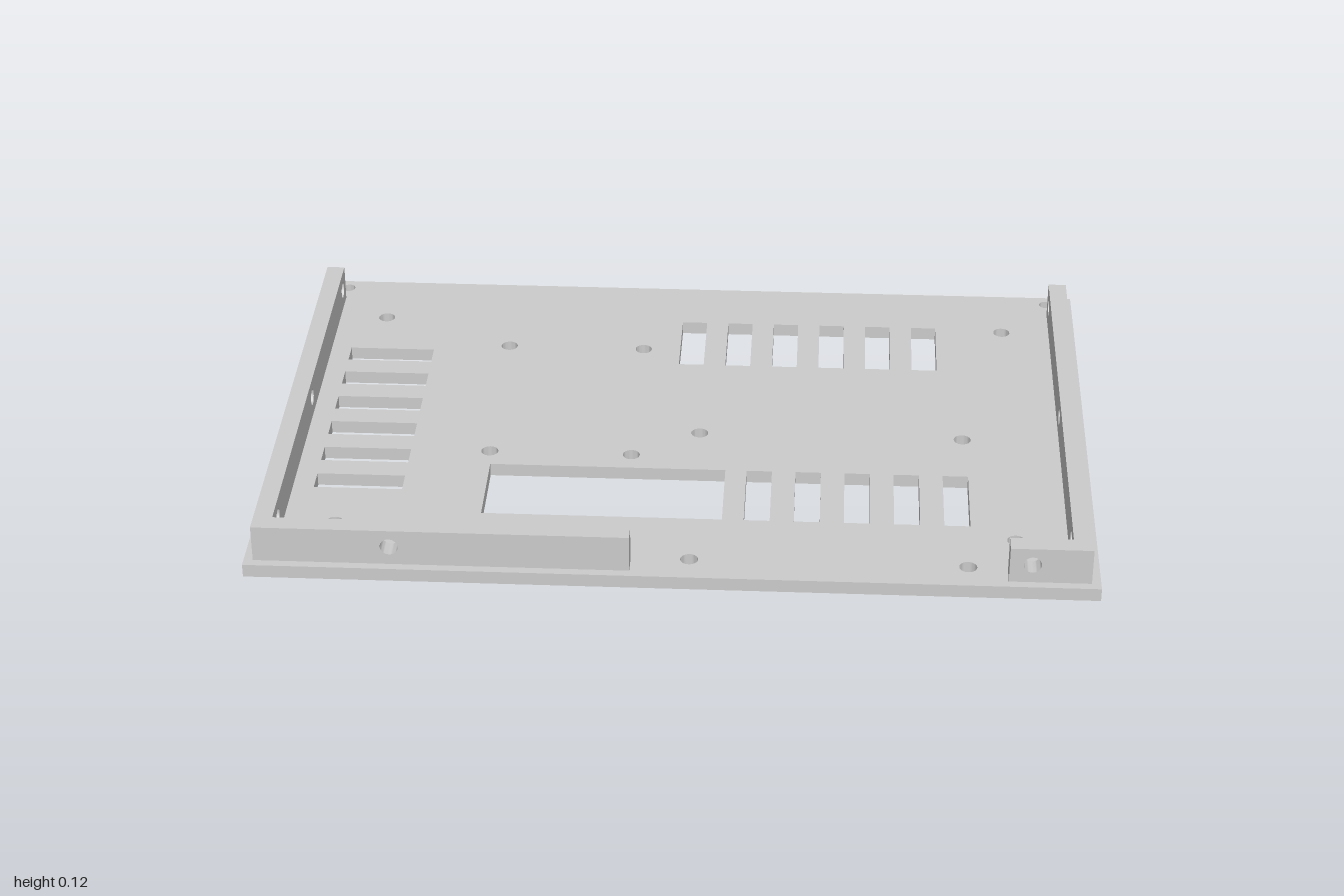
import * as THREE from 'three';
import { toCreasedNormals } from 'three/addons/utils/BufferGeometryUtils.js';

const material = new THREE.MeshStandardMaterial({ color: 0xcccccc });
const PLATE = 0.033, TOP = 0.125, WALL = 0.045, HOLE_Y = 0.081;

function rectPath(x0, y0, x1, y1, Type = THREE.Path) {
  const p = new Type();
  p.moveTo(x0, y0);
  p.lineTo(x1, y0);
  p.lineTo(x1, y1);
  p.lineTo(x0, y1);
  p.closePath();
  return p;
}

function holePath(x, y, r = 0.021) {
  return new THREE.Path().absarc(x, y, r, 0, Math.PI * 2, true);
}

// Flat panel with cut-outs; only the round holes come out smooth
function panel(name, outline, holes, depth) {
  outline.holes.push(...holes);
  const geo = new THREE.ExtrudeGeometry(outline, { depth, bevelEnabled: false, curveSegments: 16 });
  const mesh = new THREE.Mesh(toCreasedNormals(geo, 0.6), material);
  mesh.name = name;
  return mesh;
}

export function createModel() {
  const group = new THREE.Group();
  group.name = 'ventedMountingTray';

  // Base plate cut-outs, given in x and z
  const cuts = [];
  const slot = (x0, z0, x1, z1) => cuts.push(rectPath(x0, -z1, x1, -z0));
  const drill = (x, z, r) => cuts.push(holePath(x, -z, r));

  // Vent slots: back row, left column, front row
  for (let i = 0; i < 6; i++) {
    const x = -0.027 + i * 0.12, z = -0.325 + i * 0.12;
    slot(x, -0.498, x + 0.064, -0.284);
    slot(-0.882, z, -0.667, z + 0.06);
  }
  for (let i = 0; i < 5; i++) {
    const x = 0.164 + i * 0.1195;
    slot(x, 0.212, x + 0.062, 0.428);
  }
  // Large window
  slot(-0.465, 0.212, 0.112, 0.428);

  // Screw holes
  for (const s of [-1, 1]) {
    drill(s * 0.933, -0.637, 0.017);
    for (const z of [-0.485, 0.483]) drill(s * 0.81, z);
  }
  for (const x of [-0.472, -0.122]) for (const z of [-0.355, 0.153]) drill(x, z);
  for (const x of [0.042, 0.694]) for (const z of [0.045, 0.598]) drill(x, z);

  const base = panel('basePlate', rectPath(-1, -0.673, 1, 0.673, THREE.Shape), cuts, PLATE);
  base.rotation.x = -Math.PI / 2;
  group.add(base);

  // Side walls with three holes each
  for (const [name, x] of [['rightSideWall', -0.978], ['leftSideWall', 0.978 - WALL]]) {
    const wall = panel(name, rectPath(-0.652, PLATE, 0.585, TOP, THREE.Shape),
      [-0.54, 0, 0.54].map(z => holePath(z, HOLE_Y)), WALL);
    wall.rotation.y = Math.PI / 2;
    wall.position.x = x;
    group.add(wall);
  }

  // Front walls: a long one and a short return, with an opening between
  for (const [name, x0, x1, hole] of [
    ['longFrontWall', -0.978 + WALL, -0.095, -0.656],
    ['shortFrontWall', 0.786, 0.978 - WALL, 0.839],
  ]) {
    const wall = panel(name, rectPath(x0, PLATE, x1, TOP, THREE.Shape), [holePath(hole, HOLE_Y)], WALL);
    wall.position.z = 0.652 - WALL;
    group.add(wall);
  }
  return group;
}
